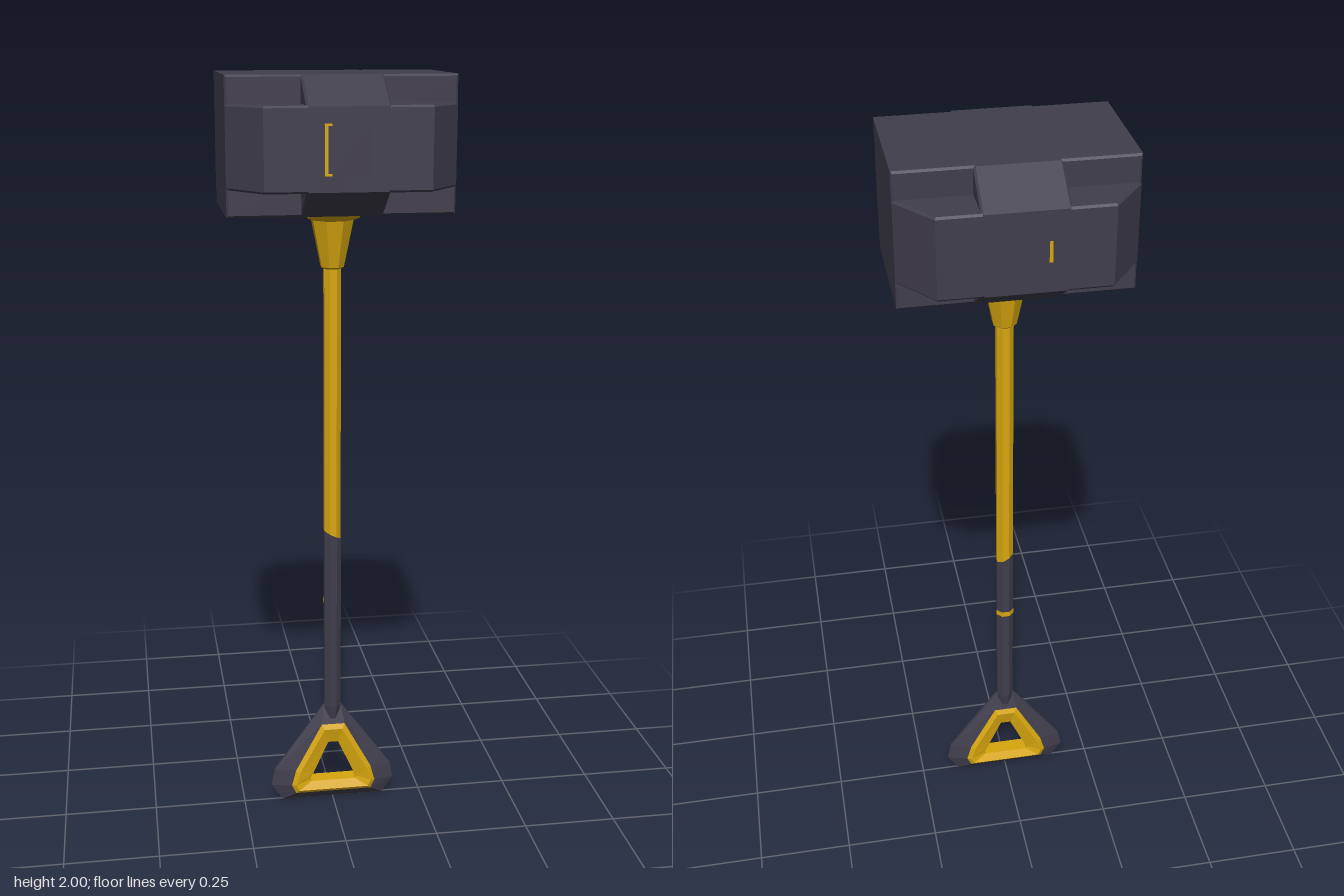
import * as THREE from 'three';

const dark = new THREE.MeshStandardMaterial({ color: 0x413e4d });
const gold = new THREE.MeshStandardMaterial({ color: 0xd8a70f });
dark.name = 'dark steel';
gold.name = 'gold';

function add(parent, name, geometry, material, x = 0, y = 0, z = 0) {
  const mesh = new THREE.Mesh(geometry, material);
  mesh.name = name;
  mesh.position.set(x, y, z);
  parent.add(mesh);
  return mesh;
}

function faceted(geometry) {
  const g = geometry.index ? geometry.toNonIndexed() : geometry;
  g.computeVertexNormals();
  return g;
}

// Mirrors a quarter outline into a full one and extrudes it, centred, with a fine bevel
function prism(quarter, length, bevel = 0.005) {
  const back = [...quarter].reverse();
  const pts = [
    ...quarter,
    ...back.map(([x, y]) => [-x, y]),
    ...quarter.map(([x, y]) => [-x, -y]),
    ...back.map(([x, y]) => [x, -y]),
  ].map(([x, y]) => new THREE.Vector2(x, y));
  const g = new THREE.ExtrudeGeometry(new THREE.Shape(pts), {
    depth: length - 2 * bevel, bevelThickness: bevel, bevelSize: bevel,
    bevelOffset: -bevel, bevelSegments: 1,
  });
  return g.translate(0, 0, bevel - length / 2);
}

// Eight-sided turned part from [radius, y] pairs, with crisp steps
function turned(profile) {
  const g = new THREE.LatheGeometry(profile.map(([r, y]) => new THREE.Vector2(r, y)), 8, Math.PI / 8);
  return faceted(g);
}

// Skins closed loops of equal point count, flat shaded
function loft(loops) {
  const v = [];
  for (let i = 0; i < loops.length - 1; i++) {
    const n = loops[i].length;
    for (let j = 0; j < n; j++) {
      const k = (j + 1) % n;
      const a = loops[i][j], b = loops[i][k], c = loops[i + 1][k], d = loops[i + 1][j];
      v.push(...a, ...d, ...c, ...a, ...c, ...b);
    }
  }
  const g = new THREE.BufferGeometry();
  g.setAttribute('position', new THREE.Float32BufferAttribute(v, 3));
  return faceted(g);
}

// Symmetric loop: right side from top to bottom, then the mirrored left side
function loop(half, depth) {
  const left = [...half].reverse().map(([x, y]) => [-x, y]);
  return [...half, ...left].map(([x, y]) => [x, y, depth * (1 - 0.9 * y)]);
}

function buildHead() {
  const head = new THREE.Group();
  head.name = 'head';
  head.position.y = 1.834;
  // Full-height core
  add(head, 'headCore', prism([[0.28, 0.166], [0.28, 0.166]].slice(0, 1), 0.332), dark);
  // Middle band with chamfered corners
  const band = prism([[0.28, 0.165], [0.2, 0.27]], 0.2).rotateX(Math.PI / 2);
  add(head, 'headBand', band, dark);
  // Sloped central ridges on the faces
  const ridge = prism([[0.27, 0.098], [0.168, 0.166]], 0.2).rotateY(Math.PI / 2);
  add(head, 'headRidge', ridge, dark);
  // Thin face plates with a gold bracket
  for (const s of [1, -1]) {
    add(head, 'facePlate', new THREE.BoxGeometry(0.1, 0.12, 0.004), dark, 0, 0, s * 0.27);
    const h = s > 0 ? 0.12 : 0.05;
    add(head, 'faceBracket', new THREE.BoxGeometry(0.008, h, 0.005), gold, -0.054, 0, s * 0.27);
    for (const t of [1, -1]) {
      if (s > 0) add(head, 'bracketTip', new THREE.BoxGeometry(0.012, 0.006, 0.005), gold, -0.046, t * 0.057, s * 0.27);
    }
  }
  return head;
}

function buildHandle() {
  const handle = new THREE.Group();
  handle.name = 'handle';
  // Gold upper shaft
  add(handle, 'shaft', turned([[0.0235, 0.75], [0.0235, 1.55]]), gold);
  // Flared collar and flange below the head
  add(handle, 'collar', turned([
    [0.024, 1.515], [0.031, 1.52], [0.056, 1.64], [0.07, 1.645],
    [0.082, 1.658], [0.082, 1.675],
  ]), gold);
  // Dark grip, its upper end cut at a slant
  const grip = turned([[0.012, 0.22], [0.0245, 0.29], [0.0245, 0.795], [0.022, 0.795]]);
  const p = grip.attributes.position;
  for (let i = 0; i < p.count; i++) {
    if (p.getY(i) > 0.79) p.setY(i, 0.795 - 0.5 * p.getX(i));
  }
  add(handle, 'grip', faceted(grip), dark);
  // Gold half band on the back of the grip
  const band = new THREE.CylinderGeometry(0.0262, 0.0262, 0.016, 4, 1, true, Math.PI / 2 + Math.PI / 8, Math.PI);
  add(handle, 'gripBand', faceted(band), gold, 0, 0.605, 0);
  return handle;
}

function buildPommel() {
  const pommel = new THREE.Group();
  pommel.name = 'pommel';
  const outer = [[0.024, 0.29], [0.165, 0.095], [0.174, 0.05], [0.142, 0.004]];
  const rim = [[0.032, 0.236], [0.106, 0.1], [0.118, 0.055], [0.106, 0.03]];
  const crest = [[0.025, 0.222], [0.095, 0.094], [0.106, 0.058], [0.098, 0.04]];
  const hole = [[0.014, 0.18], [0.055, 0.09], [0.066, 0.068], [0.062, 0.062]];
  // Dark plate tapering to a sharp edge
  const edge = [0.005, -0.005].map((d) => loop(outer, d));
  add(pommel, 'pommelPlate', loft([loop(rim, -0.026), edge[1], edge[0], loop(rim, 0.026)]), dark);
  // Raised gold frame around the triangular opening
  add(pommel, 'pommelFrame', loft([
    loop(rim, 0.026), loop(crest, 0.034), loop(hole, 0.022),
    loop(hole, -0.022), loop(crest, -0.034), loop(rim, -0.026),
  ]), gold);
  return pommel;
}

export function createModel() {
  const model = new THREE.Group();
  model.name = 'warHammer';
  model.add(buildHead(), buildHandle(), buildPommel());
  return model;
}
